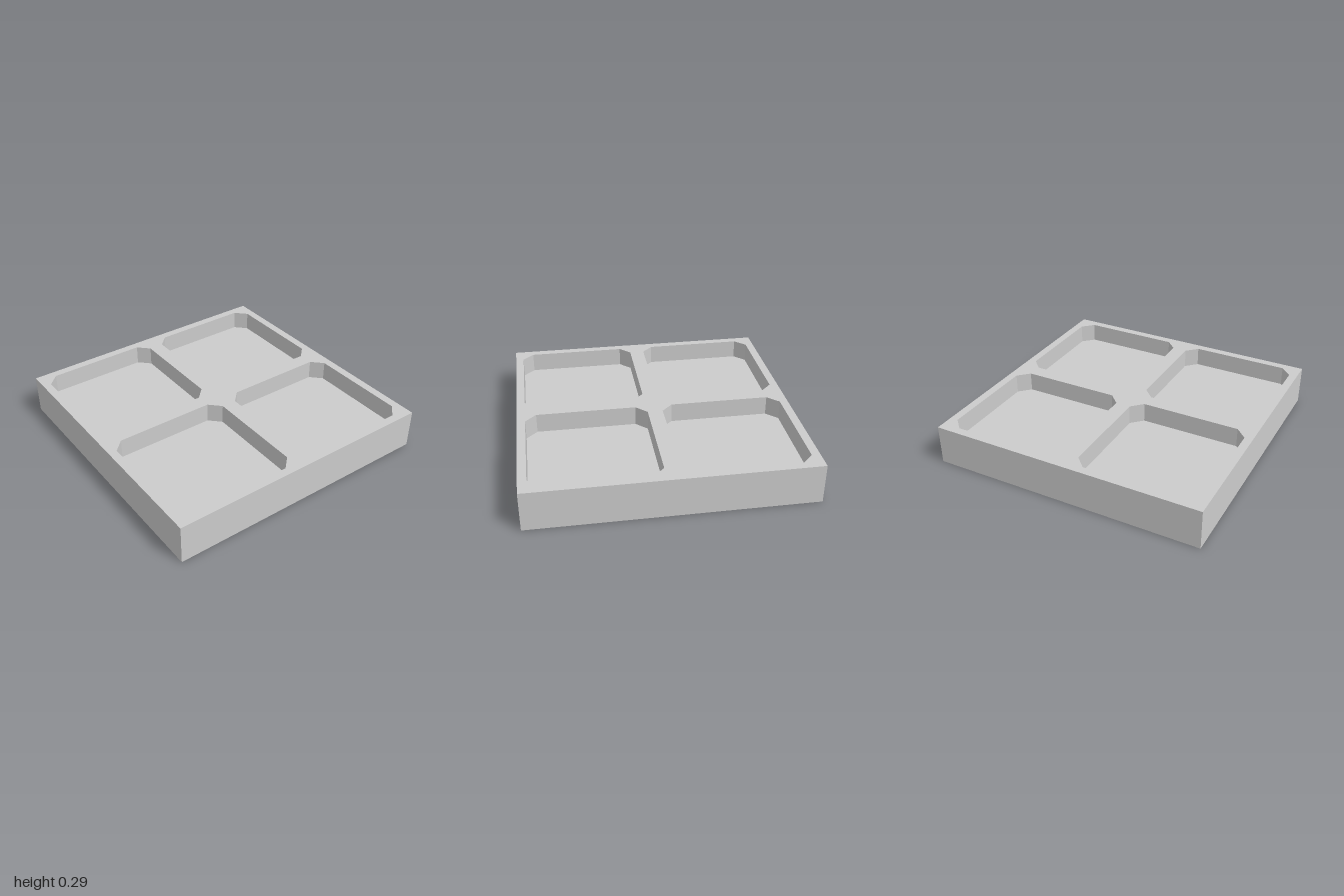
import * as THREE from 'three';
import { mergeGeometries } from 'three/addons/utils/BufferGeometryUtils.js';

const HEIGHT = 0.288, FLOOR = 0.145;
const HALF = 0.4425, CUT = 0.08, CENTRE = 0.4975;

// Square outline with cut corners, counter-clockwise
function pocketOutline(cx, cy) {
  const a = HALF, b = HALF - CUT;
  return [[a, -b], [a, b], [b, a], [-b, a], [-a, b], [-a, -b], [-b, -a], [b, -a]]
    .map(([x, y]) => new THREE.Vector2(cx + x, cy + y));
}

// Flat horizontal face at a given height, facing up
function flatFace(shape, y) {
  return new THREE.ShapeGeometry(shape).rotateX(-Math.PI / 2).translate(0, y, 0);
}

// Inward-facing pocket wall between two neighbouring outline points
function wall(p, q) {
  const g = new THREE.PlaneGeometry(p.distanceTo(q), HEIGHT - FLOOR);
  const mid = p.clone().add(q).multiplyScalar(0.5);
  const dir = q.clone().sub(p);
  // Plan y maps to -z; the inward normal is (-dir.y, 0, -dir.x)
  g.rotateY(Math.atan2(-dir.y, -dir.x));
  return g.translate(mid.x, (HEIGHT + FLOOR) / 2, -mid.y);
}

export function createModel() {
  const group = new THREE.Group();
  const material = new THREE.MeshStandardMaterial({ color: 0xcccccc, flatShading: true });
  const add = (name, geometry) => {
    const mesh = new THREE.Mesh(geometry, material);
    mesh.name = name;
    group.add(mesh);
  };

  const outlines = [];
  for (const sx of [-1, 1]) for (const sy of [-1, 1]) outlines.push(pocketOutline(sx * CENTRE, sy * CENTRE));

  // Outer sides and underside: a box with its top face left out
  const box = new THREE.BoxGeometry(2, HEIGHT, 2).translate(0, HEIGHT / 2, 0);
  const top = box.groups[2];
  box.setIndex([...box.index.array].filter((_, i) => i < top.start || i >= top.start + top.count));
  box.clearGroups();
  add('trayBody', box);

  // Top rim and dividers, with an opening for each pocket
  const rim = new THREE.Shape([[-1, -1], [1, -1], [1, 1], [-1, 1]].map(([x, y]) => new THREE.Vector2(x, y)));
  rim.holes = outlines.map((pts) => new THREE.Path(pts));
  add('rim', flatFace(rim, HEIGHT));

  // Four recessed pockets
  outlines.forEach((pts, i) => {
    const walls = pts.map((p, k) => wall(p, pts[(k + 1) % pts.length]));
    add(`pocket${i + 1}`, mergeGeometries([flatFace(new THREE.Shape(pts), FLOOR), ...walls]));
  });

  return group;
}
